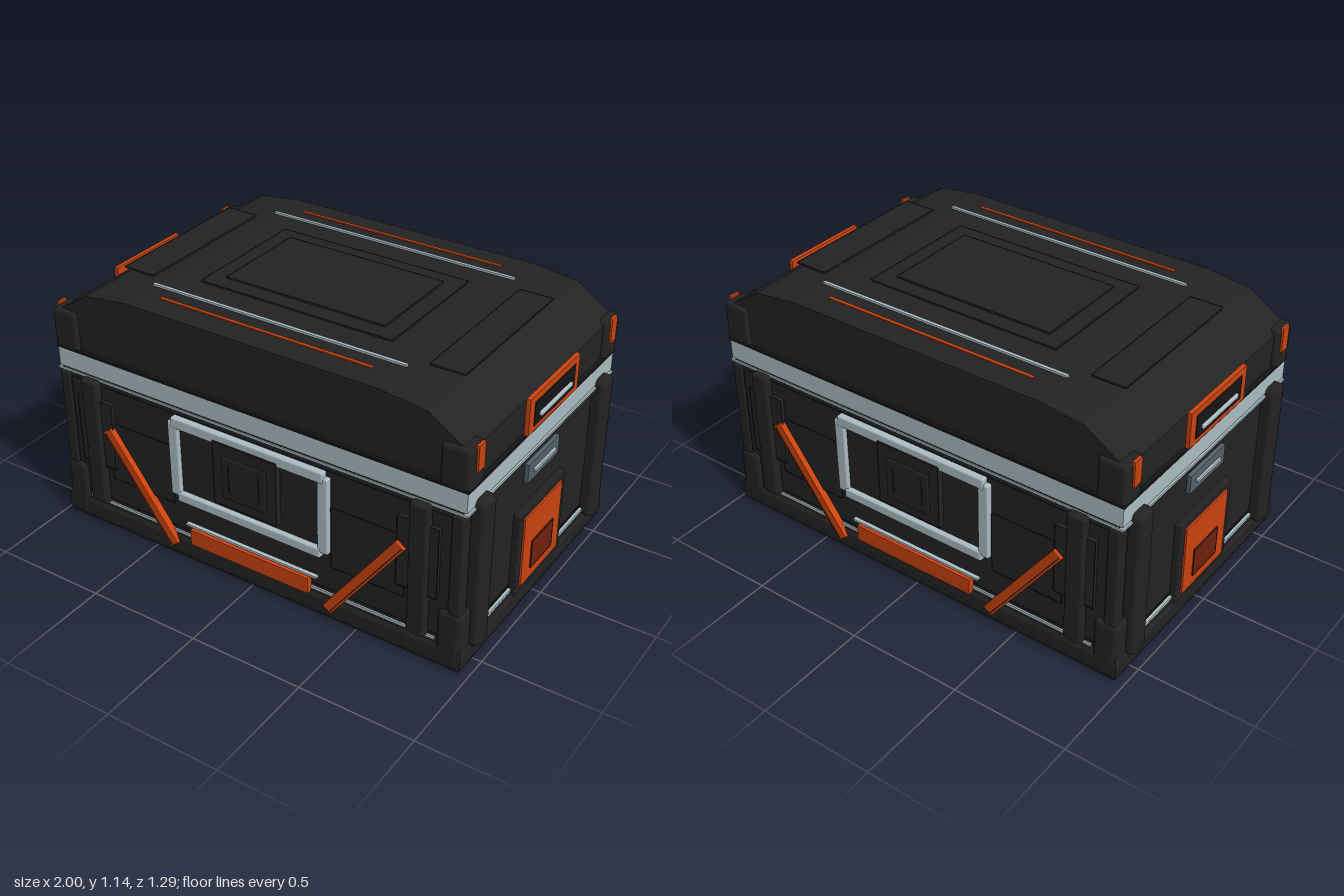
import * as THREE from 'three';
import { RoundedBoxGeometry } from 'three/addons/geometries/RoundedBoxGeometry.js';

const material = (name, color) => {
  const m = new THREE.MeshStandardMaterial({ color });
  m.name = name;
  return m;
};

export function createModel() {
  const root = new THREE.Group();
  root.name = 'equipmentCase';
  const dark = material('charcoal', 0x232323);
  const black = material('seamBlack', 0x161616);
  const silver = material('silver', 0xadbec5);
  const slate = material('slate', 0x56626a);
  const orange = material('orange', 0xcc430f);
  const rust = material('rust', 0x70210c);

  // Box given by its min and max on each axis, optionally rounded
  function box(name, mat, [x0, x1], [y0, y1], [z0, z1], r = 0, parent = root) {
    const s = [x1 - x0, y1 - y0, z1 - z0];
    const geo = r ? new RoundedBoxGeometry(...s, 2, r) : new THREE.BoxGeometry(...s);
    const mesh = new THREE.Mesh(geo, mat);
    mesh.name = name;
    mesh.position.set((x0 + x1) / 2, (y0 + y1) / 2, (z0 + z1) / 2);
    parent.add(mesh);
    return mesh;
  }
  const sym = (h) => [-h, h];
  const flip = ([a, b], s) => (s > 0 ? [a, b] : [-b, -a]);

  // Thin seam outline of a rectangle in a group's local XY plane
  function outline(name, parent, w, y0, y1, z, cx = 0) {
    const t = 0.004, d = [z, z + 0.002];
    for (const s of [-1, 1]) {
      box(name, black, [cx + s * w - t / 2, cx + s * w + t / 2], [y0, y1], d, 0, parent);
      const y = s < 0 ? y0 : y1;
      box(name, black, [cx - w, cx + w], [y - t / 2, y + t / 2], d, 0, parent);
    }
  }

  // Main shell: chamfered base, body and silver seal band
  const baseShape = new THREE.Shape();
  const bx = 0.94, bz = 0.59;
  baseShape.moveTo(-bx, -bz).lineTo(bx, -bz).lineTo(bx, bz).lineTo(-bx, bz).closePath();
  const baseGeo = new THREE.ExtrudeGeometry(baseShape, {
    depth: 0.06, bevelEnabled: true, bevelThickness: 0.03, bevelSize: 0.03, bevelSegments: 2,
  });
  baseGeo.rotateX(-Math.PI / 2).translate(0, 0.03, 0);
  const base = new THREE.Mesh(baseGeo, dark);
  base.name = 'base';
  root.add(base);
  box('body', dark, sym(0.945), [0.1, 0.735], sym(0.605));
  box('lowerSealLip', silver, sym(0.962), [0.722, 0.732], sym(0.61));
  box('sealBand', silver, sym(0.957), [0.738, 0.825], sym(0.606));
  box('upperSealLip', black, sym(0.962), [0.824, 0.836], sym(0.61));

  // Lid: faceted profile extruded front to back
  const half = [[0.945, 0.83], [0.945, 0.98], [0.92, 1.01], [0.78, 1.1], [0.58, 1.125]];
  const lidShape = new THREE.Shape([
    ...half.map(([x, y]) => new THREE.Vector2(x, y)),
    ...half.slice().reverse().map(([x, y]) => new THREE.Vector2(-x, y)),
  ]);
  const lidGeo = new THREE.ExtrudeGeometry(lidShape, {
    depth: 1.18, bevelEnabled: true, bevelThickness: 0.006, bevelSize: 0.004, bevelOffset: -0.004, bevelSegments: 1,
  });
  lidGeo.translate(0, 0, -0.59);
  const lid = new THREE.Mesh(lidGeo, dark);
  lid.name = 'lid';
  root.add(lid);

  // Stepped plates on the lid
  box('lidPlateOuter', dark, sym(0.445), [1.12, 1.132], sym(0.29));
  box('lidPlateInner', dark, sym(0.37), [1.13, 1.14], sym(0.22));
  const lidSeams = new THREE.Group();
  lidSeams.name = 'lidSeams';
  lidSeams.rotation.x = -Math.PI / 2;
  root.add(lidSeams);
  outline('lidSeam', lidSeams, 0.445, -0.29, 0.29, 1.131);
  outline('lidSeam', lidSeams, 0.37, -0.22, 0.22, 1.139);
  for (const s of [-1, 1]) {
    box('lidEndPlate', dark, flip([0.642, 0.788], s), [1.118, 1.126], sym(0.35));
    outline('lidEndSeam', lidSeams, 0.073, -0.35, 0.35, 1.125, s * 0.715);
    box('lidSilverStrip', silver, sym(0.585), [1.12, 1.134], flip([0.407, 0.421], s));
    box('lidOrangeStrip', orange, sym(0.487), [1.12, 1.13], flip([0.483, 0.497], s));
  }

  // Corner guards, posts and feet
  for (const sx of [-1, 1]) for (const sz of [-1, 1]) {
    box('lidCorner', dark, flip([0.84, 0.965], sx), [0.825, 1.005], flip([0.5, 0.613], sz), 0.02);
    box('lidCornerMarker', orange, flip([0.96, 0.973], sx), [0.9, 1.008], flip([0.525, 0.572], sz));
    box('sidePost', dark, flip([0.9, 1], sx), [0.09, 0.76], flip([0.452, 0.547], sz), 0.024);
    box('cornerFoot', dark, flip([0.858, 0.966], sx), [0.015, 0.28], flip([0.53, 0.622], sz), 0.025);
    box('cornerPost', dark, flip([0.9, 0.955], sx), [0.1, 0.72], flip([0.56, 0.615], sz), 0.012);
  }

  // Front and back faces share one layout, turned half round
  for (const turn of [0, Math.PI]) {
    const face = new THREE.Group();
    face.name = turn ? 'backFace' : 'frontFace';
    face.rotation.y = turn;
    root.add(face);
    const add = (name, mat, x, y, z, r) => box(name, mat, x, y, z, r, face);

    outline('facePanelSeam', face, 0.9, 0.145, 0.7, 0.605);
    add('faceLowerStrip', silver, sym(0.85), [0.118, 0.131], [0.6, 0.612]);
    add('bumper', orange, sym(0.29), [0.105, 0.178], [0.6, 0.634]);
    add('bumperTrim', silver, sym(0.322), [0.182, 0.192], [0.6, 0.622]);

    // Handle frame and latch plate
    add('handleTop', silver, sym(0.362), [0.65, 0.7], [0.6, 0.634], 0.008);
    add('handleBottom', silver, sym(0.348), [0.3, 0.346], [0.6, 0.634], 0.008);
    add('handleBacking', dark, sym(0.335), [0.34, 0.655], [0.6, 0.612]);
    add('latchPlate', dark, sym(0.153), [0.375, 0.668], [0.6, 0.638], 0.004);
    outline('latchSeam', face, 0.15, 0.378, 0.665, 0.637);
    add('latchButton', dark, sym(0.105), [0.42, 0.61], [0.63, 0.645], 0.004);

    for (const s of [-1, 1]) {
      add('handleSide', silver, flip([0.332, 0.382], s), [0.325, 0.675], [0.6, 0.63], 0.008);
      add('latchGroove', black, flip([0.069, 0.075], s), [0.455, 0.58], [0.644, 0.647]);
      add('recessPanel', dark, flip([0.385, 0.71], s), [0.262, 0.542], [0.6, 0.61]);
      outline('recessSeam', face, 0.1625, 0.262, 0.542, 0.609, s * 0.5475);
      add('strapPost', dark, flip([0.738, 0.822], s), [0.128, 0.73], [0.6, 0.643], 0.015);
      add('strapPlate', dark, flip([0.682, 0.858], s), [0.322, 0.637], [0.6, 0.624], 0.005);
      outline('strapSeam', face, 0.088, 0.322, 0.637, 0.623, s * 0.77);

      // Diagonal brace with a dark edge rail
      const brace = new THREE.Group();
      brace.name = 'brace';
      brace.position.set(s * 0.543, 0.29, 0);
      brace.rotation.z = -s * Math.atan2(0.32, 0.44);
      face.add(brace);
      box('braceBar', orange, sym(0.024), sym(0.277), [0.6, 0.636], 0.003, brace);
      box('braceRail', black, flip([0.011, 0.015], s), sym(0.268), [0.634, 0.638], 0, brace);
    }
  }

  // Left and right ends share one layout, facing outward along local +z
  for (const s of [-1, 1]) {
    const end = new THREE.Group();
    end.name = s > 0 ? 'leftEnd' : 'rightEnd';
    end.rotation.y = s * Math.PI / 2;
    root.add(end);
    const add = (name, mat, x, y, z, r) => box(name, mat, x, y, z, r, end);

    add('endLowerStrip', silver, sym(0.56), [0.118, 0.131], [0.94, 0.957]);
    add('endSeam', black, sym(0.56), [0.142, 0.148], [0.94, 0.949]);
    add('endPanel', dark, sym(0.196), [0.095, 0.484], [0.93, 0.972], 0.004);
    add('endBadge', orange, sym(0.159), [0.128, 0.45], [0.96, 0.98]);
    add('endBadgeInset', rust, sym(0.09), [0.178, 0.308], [0.975, 0.985]);
    outline('endBadgeSeam', end, 0.09, 0.178, 0.308, 0.984);
    add('endLatch', slate, sym(0.13), [0.595, 0.678], [0.94, 0.962]);
    add('endLatchBar', silver, sym(0.09), [0.629, 0.642], [0.96, 0.972]);

    // Carry handle on the lid
    add('lidHandlePlate', orange, sym(0.206), [0.856, 1.011], [0.964, 0.982]);
    add('lidHandleMount', dark, sym(0.15), [0.87, 0.96], [0.93, 0.965]);
    add('lidHandleInset', black, sym(0.167), [0.881, 0.983], [0.98, 0.986]);
    add('lidHandleBar', silver, sym(0.132), [0.908, 0.927], [0.984, 0.997], 0.005);
  }
  return root;
}
